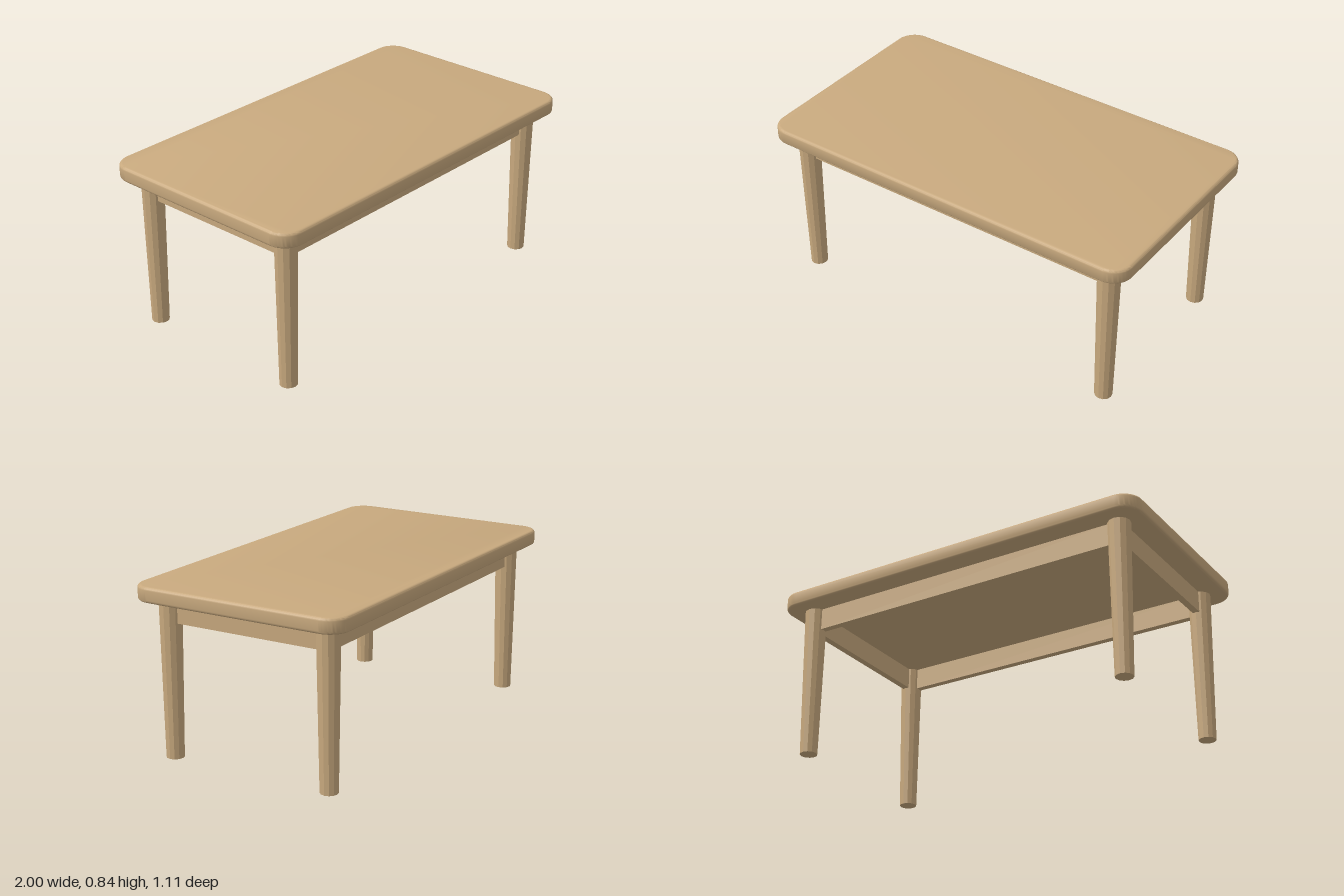
import * as THREE from 'three';
import { toCreasedNormals } from 'three/addons/utils/BufferGeometryUtils.js';

const LEG_X = 0.865, LEG_Z = 0.424; // leg centres
const TOP_Y = 0.77, HEIGHT = 0.845; // underside and upper face of the top

function roundedRect(halfW, halfD, r) {
  const s = new THREE.Shape();
  s.absarc(halfW - r, halfD - r, r, 0, Math.PI / 2);
  s.absarc(-halfW + r, halfD - r, r, Math.PI / 2, Math.PI);
  s.absarc(-halfW + r, -halfD + r, r, Math.PI, Math.PI * 1.5);
  s.absarc(halfW - r, -halfD + r, r, Math.PI * 1.5, Math.PI * 2);
  s.closePath();
  return s;
}

export function createModel() {
  const table = new THREE.Group();
  table.name = 'table';
  const wood = new THREE.MeshStandardMaterial({ color: 0xc8a97e });
  const woodFlat = new THREE.MeshStandardMaterial({ color: 0xc8a97e, flatShading: true });

  const add = (name, geometry, material, x, y, z) => {
    const mesh = new THREE.Mesh(geometry, material);
    mesh.name = name;
    mesh.position.set(x, y, z);
    table.add(mesh);
  };

  // Table top: rounded corners and a softly rounded rim
  const bevel = 0.015;
  const slab = new THREE.ExtrudeGeometry(roundedRect(1 - bevel, 0.555 - bevel, 0.1 - bevel), {
    depth: HEIGHT - TOP_Y - 2 * bevel, bevelEnabled: true, bevelSize: bevel,
    bevelThickness: bevel, bevelSegments: 4, curveSegments: 10,
  });
  slab.rotateX(-Math.PI / 2);
  add('tableTop', toCreasedNormals(slab, 0.6), wood, 0, TOP_Y + bevel, 0);

  // Four tapered, faceted legs
  const leg = new THREE.CylinderGeometry(0.055, 0.043, TOP_Y, 12);
  for (const [zName, sz] of [['front', 1], ['back', -1]])
    for (const [xName, sx] of [['Left', 1], ['Right', -1]])
      add(`${zName}${xName}Leg`, leg, woodFlat, sx * LEG_X, TOP_Y / 2, sz * LEG_Z);

  // Apron rails running between the legs
  const railH = 0.11, railT = 0.034, railY = TOP_Y - railH / 2;
  const longRail = new THREE.BoxGeometry(2 * LEG_X - 0.06, railH, railT);
  const shortRail = new THREE.BoxGeometry(railT, railH, 2 * LEG_Z - 0.06);
  add('frontApron', longRail, wood, 0, railY, LEG_Z);
  add('backApron', longRail, wood, 0, railY, -LEG_Z);
  add('leftApron', shortRail, wood, LEG_X, railY, 0);
  add('rightApron', shortRail, wood, -LEG_X, railY, 0);

  return table;
}
